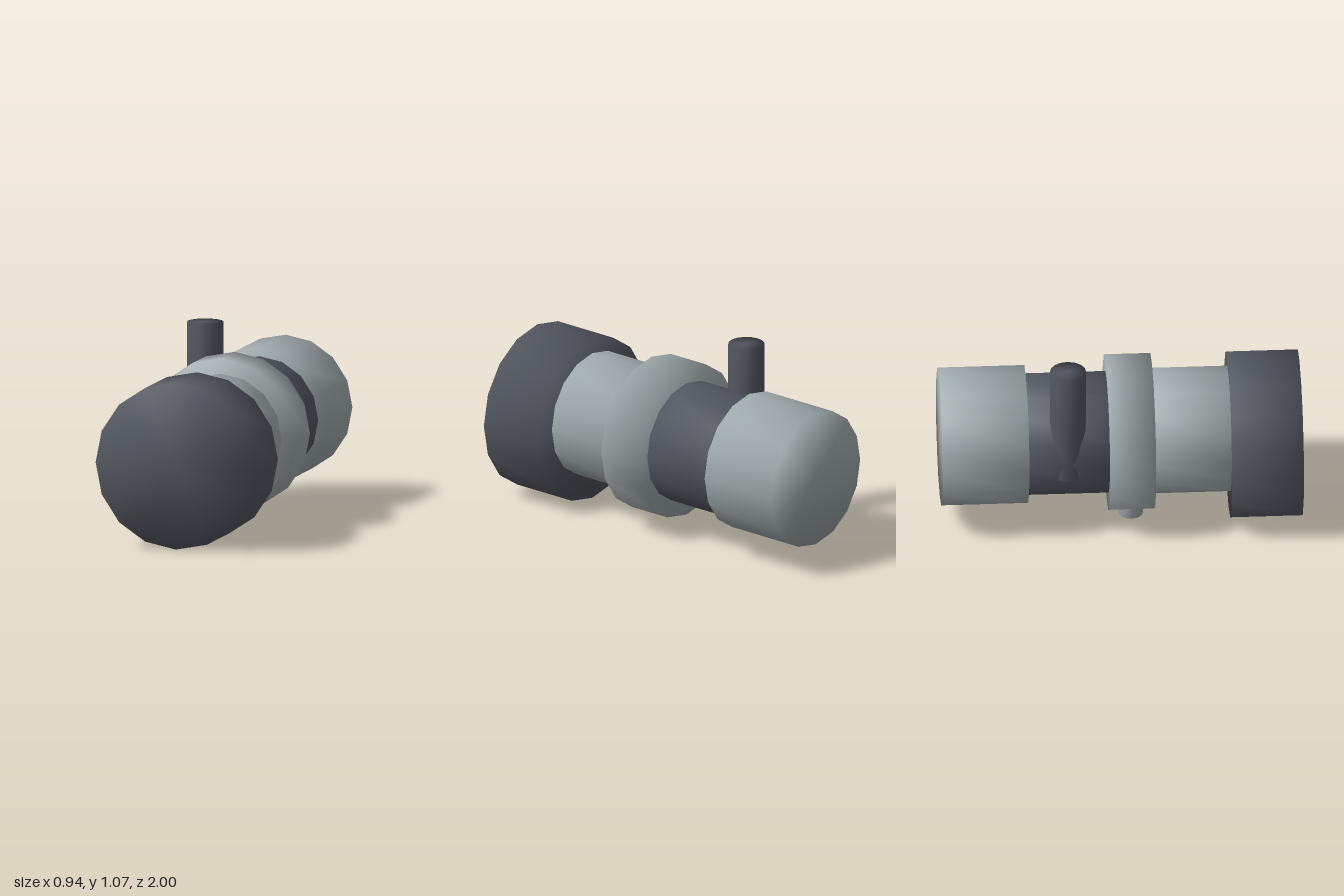
import * as THREE from 'three';
import { mergeVertices } from 'three/addons/utils/BufferGeometryUtils.js';

const SIDES = 16;

// Capped cylinder whose rims share vertices, so shading is smooth over the edges.
function softCylinder(radius, length) {
  const g = new THREE.CylinderGeometry(radius, radius, length, SIDES);
  g.deleteAttribute('normal');
  g.deleteAttribute('uv');
  const merged = mergeVertices(g, 1e-4);
  merged.computeVertexNormals();
  return merged;
}

export function createModel() {
  const group = new THREE.Group();
  const dark = new THREE.MeshStandardMaterial({ color: 0x52565f });
  dark.name = 'darkGrey';
  const light = new THREE.MeshStandardMaterial({ color: 0xa0a9ac });
  light.name = 'lightGrey';

  // Barrel sections along z: name, radius, centre height, back z, front z, material
  const sections = [
    ['frontHousing', 0.468, 0.47, 0.605, 1.0, dark],
    ['frontBarrel', 0.354, 0.51, 0.18, 0.605, light],
    ['collar', 0.439, 0.509, -0.072, 0.18, light],
    ['rearBarrel', 0.343, 0.511, -0.522, -0.072, dark],
    ['eyepiece', 0.389, 0.512, -1.0, -0.522, light],
  ];
  for (const [name, r, y, z0, z1, material] of sections) {
    const mesh = new THREE.Mesh(softCylinder(r, z1 - z0), material);
    mesh.name = name;
    mesh.rotation.x = Math.PI / 2;
    mesh.position.set(0, y, (z0 + z1) / 2);
    group.add(mesh);
  }

  // Upright pegs: name, radius, x, bottom y, top y, z, material
  const pegs = [
    ['topKnob', 0.101, -0.245, 0.41, 1.072, -0.3, dark],
    ['bottomStud', 0.068, -0.13, 0.06, 0.3, 0.055, light],
  ];
  for (const [name, r, x, y0, y1, z, material] of pegs) {
    const mesh = new THREE.Mesh(softCylinder(r, y1 - y0), material);
    mesh.name = name;
    mesh.position.set(x, (y0 + y1) / 2, z);
    group.add(mesh);
  }

  return group;
}
